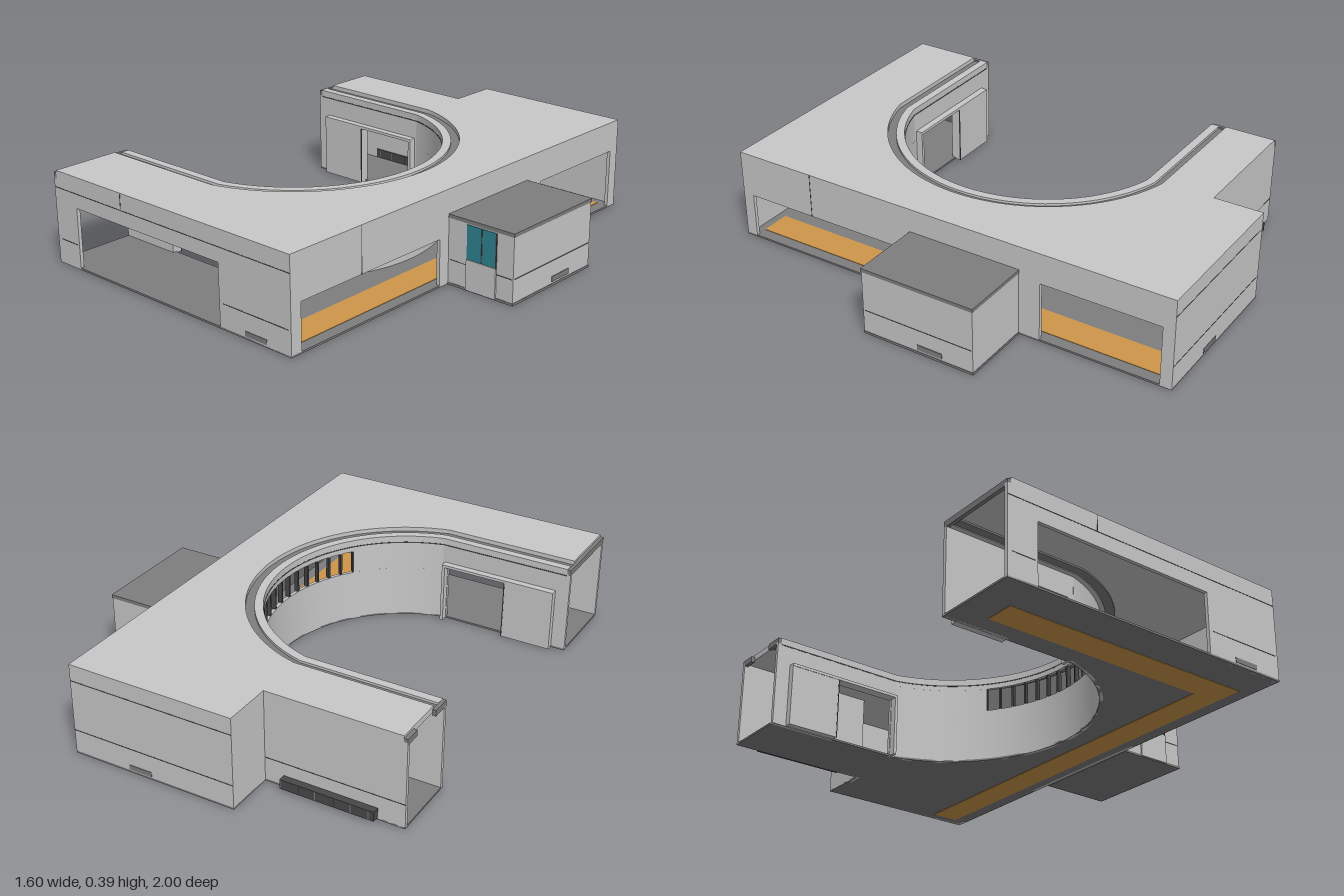
import * as THREE from 'three';
import { toCreasedNormals } from 'three/addons/utils/BufferGeometryUtils.js';

const mat = (name, color) => Object.assign(new THREE.MeshStandardMaterial({ color }), { name });

export function createModel() {
  const light = mat('light grey wall', 0xc8c8c8);
  const grey = mat('mid grey', 0x7e7e7e);
  const dark = mat('dark trim', 0x484848);
  const orange = mat('orange path', 0xcf974a);
  const teal = mat('teal glass', 0x2f8492);

  const model = new THREE.Group();
  model.name = 'courtyardBuilding';
  const T = 0.015; // wall thickness
  const CX = -0.369, CZ = 0.07, R = 0.589, HALF = 0.57; // courtyard curve

  const add = (name, geo, material) => {
    const m = new THREE.Mesh(geo, material);
    m.name = name;
    model.add(m);
    return m;
  };
  // Box given by its two extreme corners
  const box = (name, material, x0, x1, y0, y1, z0, z1) => {
    const g = new THREE.BoxGeometry(Math.abs(x1 - x0), Math.abs(y1 - y0), Math.abs(z1 - z0));
    return add(name, g.translate((x0 + x1) / 2, (y0 + y1) / 2, (z0 + z1) / 2), material);
  };
  // Horizontal outline of [x, z] points raised from y0 to y1
  const slab = (name, material, pts, y0, y1) => {
    const shape = new THREE.Shape(pts.map(([x, z]) => new THREE.Vector2(x, -z)));
    const g = new THREE.ExtrudeGeometry(shape, { depth: y1 - y0, bevelEnabled: false });
    g.rotateX(-Math.PI / 2).translate(0, y0, 0);
    return add(name, toCreasedNormals(g, 0.4), material);
  };
  // Points of the courtyard curve pushed outwards by o, between two angles
  const arc = (o, a0, a1, n = 48) => Array.from({ length: n + 1 }, (_, i) => {
    const a = a0 + (a1 - a0) * i / n;
    return [CX + (R + o) * Math.cos(a), CZ + (R + o) * Math.sin(a)];
  });
  const endAngle = o => Math.asin((HALF + o) / (R + o));
  // Whole courtyard edge: straight, curve, straight
  const edge = (o, xEnd) => [[xEnd, CZ - HALF - o], ...arc(o, -endAngle(o), endAngle(o)), [xEnd, CZ + HALF + o]];
  const ring = (name, material, o0, o1, y0, y1, xEnd) =>
    slab(name, material, [...edge(o0, xEnd), ...edge(o1, xEnd).reverse()], y0, y1);
  const arcWall = (name, a0, a1, y0, y1) =>
    slab(name, light, [...arc(0, a0, a1), ...arc(T, a0, a1).reverse()], y0, y1);
  const footprint = (o, xEnd) => [...edge(o, xEnd), [xEnd, 1], [0.49, 1], [0.49, -1], [-0.22, -1], [-0.22, -0.79], [xEnd, -0.79]];

  // Floor, roof and the stepped roof edge round the courtyard
  slab('floor', grey, footprint(0, -0.8), 0.002, 0.01);
  slab('roof', light, footprint(0.07, -0.785), 0.365, 0.39);
  ring('roofGroove', grey, 0.035, 0.072, 0.358, 0.372, -0.785);
  ring('roofRail', light, 0, 0.035, 0.355, 0.382, -0.785);
  ring('railShadowGap', dark, -0.001, 0.004, 0.35, 0.355, -0.785);

  // Orange path: full L below the floor, east corridor on top
  slab('pathUnderside', orange, [[-0.67, 0.73], [0.31, 0.73], [0.31, -0.95], [0.43, -0.95], [0.43, 0.85], [-0.67, 0.85]], 0, 0.003);
  box('pathTop', orange, 0.31, 0.44, 0.009, 0.012, -0.95, 0.95);

  // Front wall with its wide opening
  box('frontWall', light, -0.8, -0.67, 0.002, 0.365, 1 - T, 1);
  box('frontWall', light, 0.13, 0.49, 0.002, 0.365, 1 - T, 1);
  box('frontLintel', light, -0.67, 0.13, 0.26, 0.365, 1 - T, 1);

  // East wall: [z0, z1, opening height or 0]
  const east = [[-1, -0.95, 0], [-0.95, -0.44, 0.26], [-0.44, 0.2, 0], [0.2, 0.95, 0.2], [0.95, 1 - T, 0]];
  for (const [z0, z1, h] of east) box('eastWall', light, 0.49 - T, 0.49, h || 0.002, 0.365, z0, z1);

  // Back walls with the step
  box('backWall', light, -0.22, 0.49 - T, 0.002, 0.365, -1, -1 + T);
  box('backStepWall', light, -0.22, -0.22 + T, 0.002, 0.365, -1 + T, -0.79);
  box('backWingWall', light, -0.8, -0.22 + T, 0.002, 0.365, -0.79, -0.79 + T);

  // Curved courtyard wall with a slatted clerestory window
  const A = endAngle(0), W = 0.65;
  arcWall('curvedWall', -A, A, 0.002, 0.23);
  arcWall('curvedWallTop', -A, A, 0.33, 0.36);
  arcWall('curvedWallSide', -A, -W, 0.23, 0.33);
  arcWall('curvedWallSide', W, A, 0.23, 0.33);
  for (let i = 0; i <= 13; i++) {
    const a = -W + 2 * W * i / 13;
    const slat = add('windowSlat', new THREE.BoxGeometry(0.02, 0.1, 0.008), dark);
    slat.position.set(CX + (R + 0.01) * Math.cos(a), 0.28, CZ + (R + 0.01) * Math.sin(a));
    slat.rotation.y = -a;
  }

  // Straight courtyard walls with sliding doors, mirrored
  for (const s of [-1, 1]) {
    const z = d => CZ + s * (HALF + d);
    box('courtyardWall', light, -0.8, -0.52, 0.002, 0.36, z(0), z(T));
    box('courtyardWall', light, -0.245, -0.218, 0.002, 0.36, z(0), z(T));
    box('courtyardLintel', light, -0.52, -0.245, 0.26, 0.36, z(0), z(T));
    box('slidingDoor', light, -0.74, -0.52, 0.004, 0.262, z(-0.028), z(0));
    box('doorHeader', light, -0.74, -0.23, 0.26, 0.272, z(-0.03), z(0));
    box('doorJamb', light, -0.243, -0.23, 0.004, 0.26, z(-0.03), z(0));
    box('doorSeam', dark, -0.523, -0.519, 0.004, 0.26, z(-0.029), z(-0.025));
  }

  // Trim over the open wing ends
  box('endTrim', grey, -0.8, -0.785, 0.355, 0.38, 0.64, 1);
  box('endTrim', grey, -0.8, -0.785, 0.355, 0.38, -0.79, -0.72);
  box('endTrim', grey, -0.8, -0.785, 0.355, 0.38, -0.58, -0.5);

  // Long louver through the back wing wall
  box('louver', dark, -0.69, -0.3, 0.012, 0.052, -0.82, -0.77);
  for (let i = 0; i < 6; i++) {
    const x = -0.67 + i * 0.073;
    box('louverRib', grey, x, x + 0.003, 0.015, 0.05, -0.822, -0.768);
  }

  // Annex
  box('annexFloor', grey, 0.49, 0.8, 0, 0.01, -0.35, 0.15);
  box('annexBody', light, 0.49, 0.798, 0.01, 0.275, -0.348, 0.148);
  box('annexRoof', grey, 0.49, 0.8, 0.275, 0.29, -0.35, 0.15);
  box('annexWindow', teal, 0.58, 0.72, 0.13, 0.27, 0.146, 0.151);
  box('windowMullion', dark, 0.648, 0.652, 0.13, 0.27, 0.149, 0.153);
  box('windowFrame', dark, 0.716, 0.721, 0.13, 0.27, 0.149, 0.153);
  box('annexDoorPanel', light, 0.58, 0.72, 0.004, 0.13, 0.146, 0.155);

  // Small wall vents
  box('frontVent', grey, 0.26, 0.37, 0.014, 0.034, 0.998, 1.002);
  box('backVent', grey, 0.14, 0.24, 0.014, 0.034, -1.002, -0.998);
  box('annexVent', grey, 0.796, 0.801, 0.018, 0.04, -0.21, -0.1);

  // Panel seams
  const seamY = (y, h = 0.0015) => [y - h, y + h];
  box('seam', dark, -0.8, 0.49, ...seamY(0.32), 0.998, 1.001);
  box('seam', dark, -0.78, -0.68, ...seamY(0.105), 0.998, 1.001);
  box('seam', dark, 0.15, 0.48, ...seamY(0.105), 0.998, 1.001);
  box('seam', dark, -0.402, -0.399, 0.32, 0.388, 0.998, 1.001);
  box('seam', dark, 0.488, 0.491, 0.2, 0.388, 0.638, 0.641);
  box('seam', dark, -0.22, 0.49, ...seamY(0.105), -1.001, -0.998);
  box('seam', dark, -0.22, 0.49, ...seamY(0.32), -1.001, -0.998);
  box('seam', dark, -0.8, -0.22, ...seamY(0.105), -0.791, -0.788);
  box('seam', dark, 0.5, 0.79, ...seamY(0.105), 0.147, 0.149);
  box('seam', dark, 0.797, 0.799, ...seamY(0.105), -0.34, 0.14);

  return model;
}
